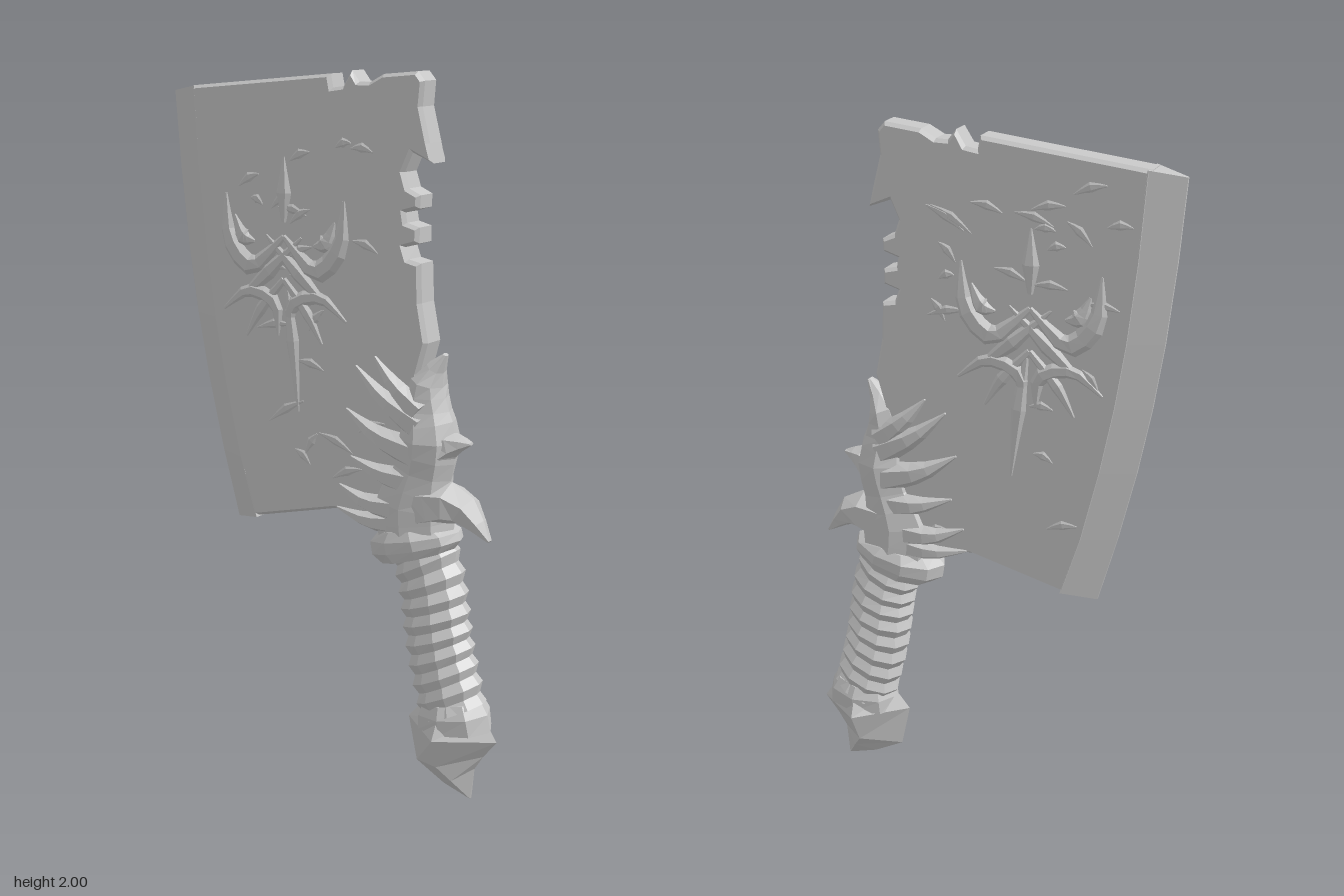
import * as THREE from 'three';

const steel = new THREE.MeshStandardMaterial({ color: 0xc6c6c6 });
steel.name = 'grey steel';

// Closed skin over a list of rings (each an array of Vector3), faceted
function loft(rings) {
  const n = rings[0].length, index = [];
  const last = (rings.length - 1) * n;
  for (let i = 0; i < rings.length - 1; i++) {
    for (let j = 0; j < n; j++) {
      const a = i * n + j, c = i * n + (j + 1) % n;
      index.push(a, a + n, c, a + n, c + n, c);
    }
  }
  for (let j = 1; j < n - 1; j++) {
    index.push(0, j, j + 1, last, last + j + 1, last + j);
  }
  const geo = new THREE.BufferGeometry().setFromPoints(rings.flat());
  geo.setIndex(index);
  const flat = geo.toNonIndexed();
  flat.computeVertexNormals();
  return flat;
}

// Tapered sweep through points [x, y, z, radius across, radius in depth]
function sweep(points, sides = 6, steps = points.length - 1, tilt = 0) {
  const path = new THREE.CatmullRomCurve3(points.map(p => new THREE.Vector3(p[0], p[1], p[2])));
  const rings = [];
  for (let i = 0; i <= steps; i++) {
    const u = i / steps, p = path.getPoint(u), t = path.getTangent(u);
    const k = Math.min(Math.floor(u * (points.length - 1)), points.length - 2);
    const f = u * (points.length - 1) - k;
    const rx = THREE.MathUtils.lerp(points[k][3], points[k + 1][3], f);
    const rz = THREE.MathUtils.lerp(points[k][4], points[k + 1][4], f);
    const side = new THREE.Vector3(t.y, -t.x, 0).normalize();
    const ring = [];
    for (let j = 0; j < sides; j++) {
      const a = j / sides * Math.PI * 2;
      const q = p.clone().addScaledVector(side, rx * Math.cos(a));
      q.z += rz * Math.sin(a);
      ring.push(q.addScaledVector(t, tilt * Math.cos(a)));
    }
    rings.push(ring);
  }
  return loft(rings);
}

// Half thickness of the blade, thinner towards the top
const halfThick = y => 0.055 - 0.008 * y;

// Cutting edge, bottom to top
const EDGE = [[-0.336, 0.696], [-0.39, 0.89], [-0.44, 1.1], [-0.477, 1.29],
  [-0.505, 1.474], [-0.53, 1.7], [-0.548, 1.925]];
const INSET = 0.085;

function bladeBody() {
  const outline = [
    // top with two chips
    [-0.463, 1.942], [0.008, 1.987], [0.016, 1.95], [0.05, 1.955], [0.077, 1.997],
    [0.1, 1.968], [0.135, 1.968], [0.177, 1.99], [0.283, 2], [0.304, 1.976],
    // hooked corner and notched spine
    [0.298, 1.91], [0.322, 1.817], [0.334, 1.765], [0.27, 1.79], [0.246, 1.738],
    [0.26, 1.696], [0.296, 1.68], [0.294, 1.645], [0.25, 1.632], [0.255, 1.605],
    [0.294, 1.595], [0.294, 1.553], [0.25, 1.54], [0.262, 1.508], [0.3, 1.5],
    [0.304, 1.394], [0.325, 1.288], [0.3, 1.2],
    // inside the guard, then the lower edge
    [0.28, 0.85], [0.2, 0.76], [0.034, 0.786], [-0.251, 0.718],
  ];
  for (const [x, y] of EDGE.slice(1, -1)) outline.push([x + INSET, y]);
  const shape = new THREE.Shape(outline.map(p => new THREE.Vector2(p[0], p[1])));
  const geo = new THREE.ExtrudeGeometry(shape, {
    depth: 1.4, bevelEnabled: true, bevelThickness: 0.3, bevelSize: 0.009,
    bevelOffset: -0.009, bevelSegments: 1,
  });
  geo.translate(0, 0, -0.7);
  const pos = geo.attributes.position;
  for (let i = 0; i < pos.count; i++) pos.setZ(i, pos.getZ(i) * halfThick(pos.getY(i)));
  geo.computeVertexNormals();
  return geo;
}

function cuttingEdge() {
  return loft(EDGE.map(([x, y], i) => {
    const lift = i === 0 ? 0.021 : i === EDGE.length - 1 ? 0.017 : 0;
    const x1 = x + INSET + 0.012, t = halfThick(y);
    return [
      new THREE.Vector3(x1, y + lift, t),
      new THREE.Vector3(x, y, 0.004),
      new THREE.Vector3(x, y, -0.004),
      new THREE.Vector3(x1, y + lift, -t),
    ];
  }));
}

export function createModel() {
  const model = new THREE.Group();
  const group = name => {
    const g = new THREE.Group();
    g.name = name;
    model.add(g);
    return g;
  };
  const add = (parent, name, geo) => {
    const mesh = new THREE.Mesh(geo, steel);
    mesh.name = name;
    parent.add(mesh);
  };

  // Blade
  const blade = group('blade');
  add(blade, 'bladeBody', bladeBody());
  add(blade, 'cuttingEdge', cuttingEdge());

  // Raised ornament of curved ridges, on both faces: [x, y, half width]
  const ornament = group('ornament');
  const cx = -0.14;
  const ridges = [
    [[0.2, 1.65, 0.004], [0.185, 1.52, 0.03], [0.11, 1.45, 0.032], [0, 1.54, 0.008]],
    [[0.17, 1.59, 0.004], [0.14, 1.53, 0.028], [0.1, 1.52, 0.004]],
    [[0.13, 1.37, 0.012], [0.05, 1.44, 0.024], [-0.06, 1.54, 0.004]],
    [[0.21, 1.32, 0.004], [0.12, 1.38, 0.02], [0.03, 1.35, 0.024], [0.02, 1.26, 0.004]],
    [[0.13, 1.25, 0.004], [0.08, 1.33, 0.018], [0, 1.42, 0.01]],
  ];
  const stems = [
    [[0, 1.76, 0.003], [0, 1.66, 0.025], [0, 1.58, 0.008]],
    [[0.01, 1.4, 0.008], [0.03, 1.25, 0.022], [0.05, 1.05, 0.003]],
  ];
  for (const s of [1, -1]) {
    const ridge = (pts, m) => add(ornament, 'ridge', sweep(
      pts.map(([x, y, r]) => [cx + m * x, y, s * halfThick(y), r, r * 0.55]), 6, 8));
    for (const pts of ridges) for (const m of [1, -1]) ridge(pts, m);
    for (const pts of stems) ridge(pts, 1);
  }

  // Hammered marks scattered over both faces
  const marks = group('hammerMarks');
  let seed = 7;
  const rand = () => (seed = seed * 16807 % 2147483647) / 2147483647;
  for (let i = 0; i < 44; i++) {
    const s = i % 2 ? 1 : -1, y = 0.84 + rand() * 1.04;
    const left = -0.2 - 0.2 * (y - 0.7), x = left + rand() * (0.17 - left);
    const dx = 0.02 + rand() * 0.04, dy = (rand() - 0.4) * 0.06;
    const z = s * halfThick(y);
    add(marks, 'hammerMark', sweep([[x - dx, y - dy, z, 0.002, 0.001],
      [x, y + 0.008, z, 0.014, 0.005], [x + dx, y + dy, z, 0.002, 0.001]], 6, 4));
  }

  // Guard: core with horns clasping the blade
  const guard = group('guard');
  add(guard, 'guardCore', sweep([
    [0.28, 0.73, 0, 0.12, 0.09], [0.27, 0.83, 0, 0.125, 0.088], [0.298, 0.93, 0, 0.088, 0.08],
    [0.315, 1.02, 0, 0.085, 0.088], [0.305, 1.1, 0, 0.07, 0.07], [0.312, 1.18, 0, 0.045, 0.066],
    [0.362, 1.257, 0, 0.006, 0.012]], 8, 12));
  const horns = [
    [[0.31, 1.1], [0.235, 1.165], [0.168, 1.238], 0.042],
    [[0.31, 1.06], [0.2, 1.125], [0.106, 1.206], 0.045],
    [[0.31, 0.98], [0.18, 1.02], [0.075, 1.082], 0.05],
    [[0.29, 0.9], [0.19, 0.915], [0.09, 0.948], 0.045],
    [[0.27, 0.82], [0.15, 0.825], [0.053, 0.862], 0.045],
    [[0.27, 0.78], [0.15, 0.775], [0.045, 0.795], 0.04],
  ];
  for (const s of [1, -1]) {
    for (const [a, b, c, r] of horns) {
      add(guard, 'clawHorn', sweep([[...a, s * 0.045, r, r * 0.8],
        [...b, s * 0.052, r * 0.6, r * 0.65], [...c, s * 0.05, 0.003, 0.004]], 6, 5));
    }
  }
  add(guard, 'upperBackHorn', sweep([[0.3, 0.95, 0, 0.07, 0.08], [0.375, 1.01, 0, 0.045, 0.06],
    [0.445, 1.022, 0, 0.004, 0.012]], 6, 5));
  add(guard, 'lowerBackHorn', sweep([[0.29, 0.83, 0, 0.08, 0.09], [0.41, 0.845, 0, 0.055, 0.07],
    [0.508, 0.76, 0, 0.004, 0.01]], 6, 5));

  // Collar under the guard
  add(model, 'collar', sweep([[0.288, 0.685, 0, 0.115, 0.09], [0.28, 0.71, 0, 0.143, 0.1],
    [0.273, 0.74, 0, 0.14, 0.102], [0.268, 0.765, 0, 0.105, 0.088]], 10));

  // Grip with slanted wrapping
  const grip = [];
  for (let i = 0; i <= 18; i++) {
    const u = i / 18, tight = i % 2;
    grip.push([0.295 + 0.108 * u + 0.012 * Math.sin(u * Math.PI * 2) * (1 - u), 0.25 + 0.47 * (1 - u), 0,
      tight ? 0.087 : 0.101, tight ? 0.077 : 0.089]);
  }
  add(model, 'wrappedGrip', sweep(grip.reverse(), 10, 18, 0.018));

  // Pommel: band and faceted point
  const pommel = group('pommel');
  add(pommel, 'pommelBand', sweep([[0.408, 0.205, 0, 0.115, 0.09], [0.405, 0.25, 0, 0.108, 0.095],
    [0.4, 0.285, 0, 0.09, 0.08]], 8));
  add(pommel, 'pommelPoint', sweep([[0.463, 0.002, 0, 0.004, 0.004], [0.425, 0.06, 0, 0.06, 0.045],
    [0.393, 0.105, 0, 0.112, 0.075], [0.4, 0.195, 0, 0.143, 0.112],
    [0.402, 0.255, 0, 0.098, 0.085]], 4));

  return model;
}
